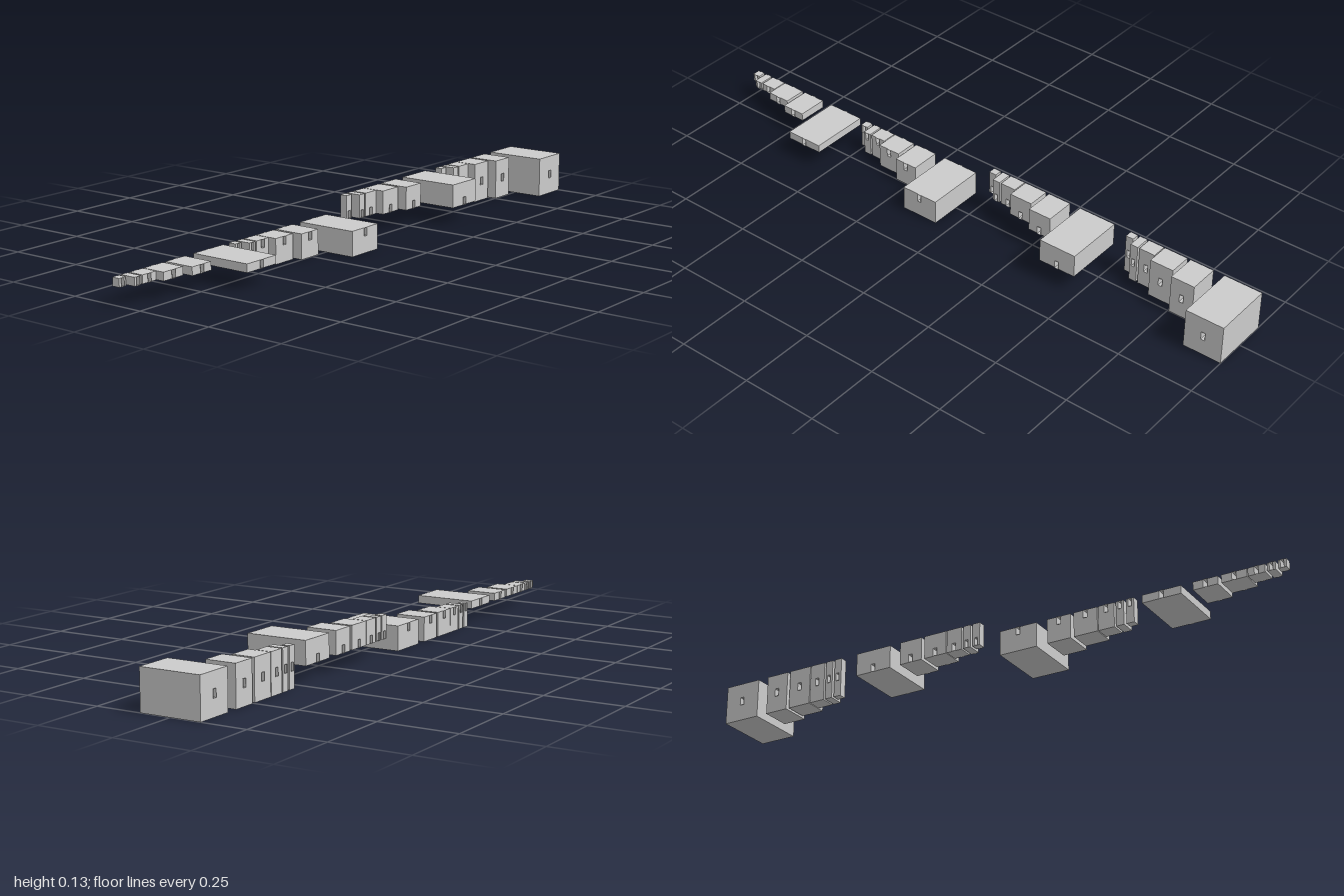
import * as THREE from 'three';

const material = new THREE.MeshStandardMaterial({ color: 0xcccccc, flatShading: true });
const thin = new THREE.MeshStandardMaterial({ color: 0xcccccc, flatShading: true, side: THREE.DoubleSide });

// Heights of the notched band shared by every block
const BAND_LOW = 0.054, BAND_HIGH = 0.08, LID_TOP = 0.13;
const BACK = -0.101, LIP = 0.002;

// Block sizes inside one row: start and end along x, depth, notch width
const BLOCKS = [
  [0.0, 0.026, 0.025, 0.01],
  [0.034, 0.06, 0.05, 0.01],
  [0.066, 0.12, 0.05, 0.012],
  [0.123, 0.203, 0.076, 0.013],
  [0.214, 0.294, 0.101, 0.013],
  [0.332, 0.46, 0.202, 0.013],
];

// Rows: start along x, and whether the block has a base and a lid
const ROWS = [
  { name: 'slabRow', x: -1, base: false, lid: false },
  { name: 'baseRow', x: -0.513, base: true, lid: false },
  { name: 'lidRow', x: 0.02, base: false, lid: true },
  { name: 'fullRow', x: 0.54, base: true, lid: true },
];

function box(name, x0, x1, y0, y1, depth) {
  const mesh = new THREE.Mesh(new THREE.BoxGeometry(x1 - x0, y1 - y0, depth), material);
  mesh.name = name;
  mesh.position.set((x0 + x1) / 2, (y0 + y1) / 2, BACK + depth / 2);
  return mesh;
}

// Open-ended rectangular lining of the notch, standing slightly proud at both ends
function sleeve(x, width, depth) {
  const group = new THREE.Group();
  group.name = 'notchSleeve';
  const height = BAND_HIGH - BAND_LOW, length = depth + 2 * LIP;
  for (const side of [-1, 1]) {
    const cheek = new THREE.Mesh(new THREE.PlaneGeometry(length, height), thin);
    cheek.name = 'sleeveCheek';
    cheek.rotation.y = side * Math.PI / 2;
    cheek.position.x = side * width / 2;
    const cover = new THREE.Mesh(new THREE.PlaneGeometry(width, length), thin);
    cover.name = 'sleeveCover';
    cover.rotation.x = -side * Math.PI / 2;
    cover.position.y = side * height / 2;
    group.add(cheek, cover);
  }
  group.position.set(x, (BAND_LOW + BAND_HIGH) / 2, BACK + depth / 2);
  return group;
}

function block(row, [start, end, depth, notch]) {
  const group = new THREE.Group();
  group.name = 'block';
  const x0 = row.x + start, x1 = row.x + end, mid = (x0 + x1) / 2;
  // Band in two halves with the notch between them
  group.add(
    box('bandRight', x0, mid - notch / 2, BAND_LOW, BAND_HIGH, depth),
    box('bandLeft', mid + notch / 2, x1, BAND_LOW, BAND_HIGH, depth),
    sleeve(mid, notch, depth),
  );
  if (row.base) group.add(box('base', x0, x1, 0, BAND_LOW, depth));
  if (row.lid) group.add(box('lid', x0, x1, BAND_HIGH, LID_TOP, depth));
  return group;
}

export function createModel() {
  const model = new THREE.Group();
  model.name = 'blockSet';
  for (const row of ROWS) {
    const group = new THREE.Group();
    group.name = row.name;
    for (const size of BLOCKS) group.add(block(row, size));
    model.add(group);
  }
  return model;
}
